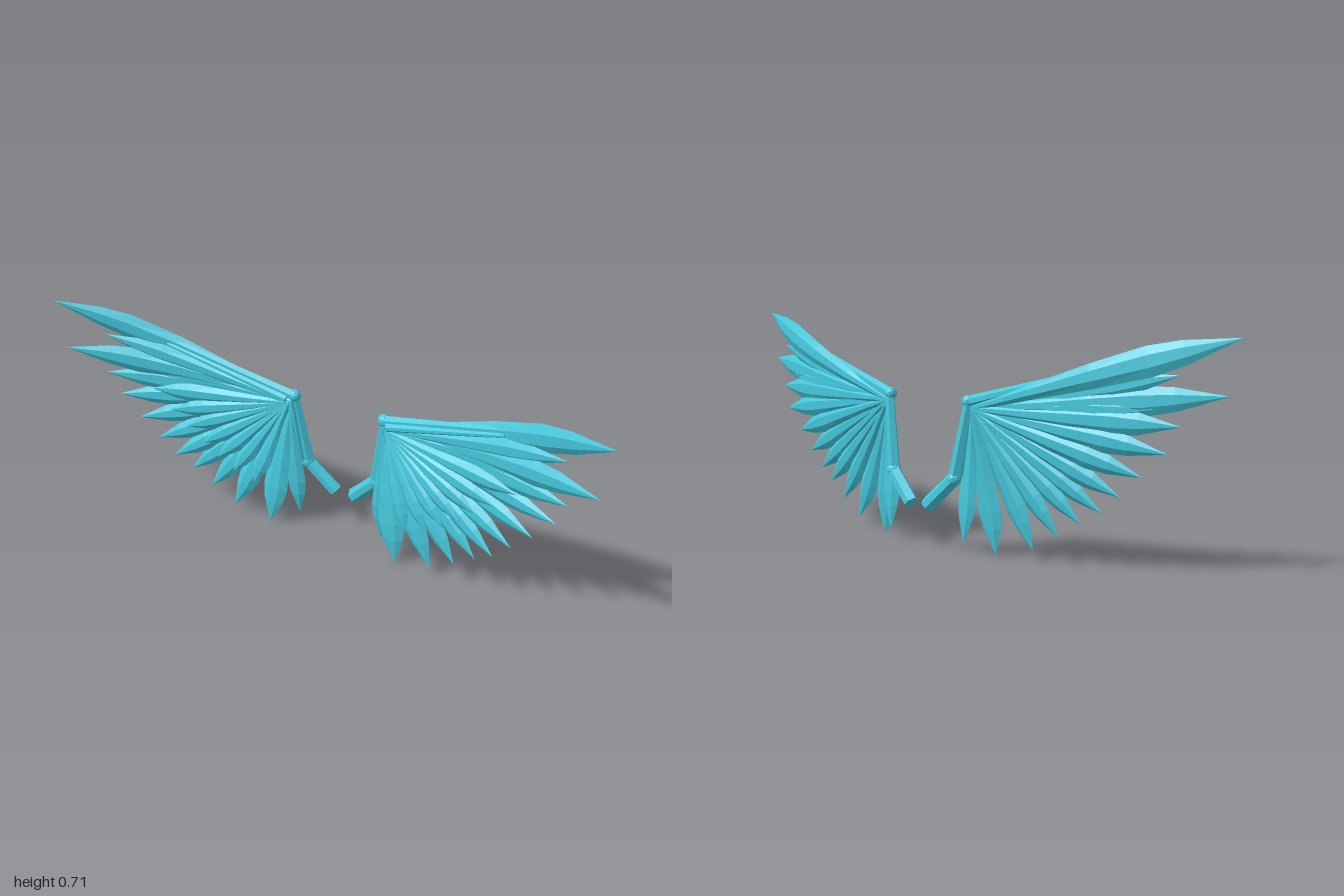
import * as THREE from 'three';

const V = (x, y, z) => new THREE.Vector3(x, y, z);
const plumage = new THREE.MeshStandardMaterial({ color: 0x45c8dc, flatShading: true });
plumage.name = 'turquoise plumage';

// Six-sided cross-section: wide, flat, with a faceted ridge on both faces
const SECTION = [[1, 0], [0.4, 0.9], [-0.4, 0.9], [-1, 0], [-0.4, -0.9], [0.4, -0.9]];
// Rows along a feather: [position, width factor, thickness factor]
const ROWS = [[0, 0.22, 0.5], [0.25, 0.48, 0.8], [0.5, 0.82, 1], [0.7, 1, 1], [0.82, 0.78, 0.8], [1, 0.01, 0.03]];

// Flattened blade from base to tip; bow bends its middle along z
function blade(base, tip, width, thick, bow, rows = ROWS) {
  const d = tip.clone().sub(base);
  const wide = V(0, 0, 1).cross(d).normalize();
  const normal = d.clone().cross(wide).normalize();
  const pos = [], idx = [], n = SECTION.length;
  for (const [t, w, h] of rows) {
    const c = base.clone().addScaledVector(d, t);
    c.z += bow * 4 * t * (1 - t);
    for (const [u, v] of SECTION) {
      const p = c.clone().addScaledVector(wide, u * w * width).addScaledVector(normal, v * h * thick);
      pos.push(p.x, p.y, p.z);
    }
  }
  for (let i = 0; i < rows.length - 1; i++) {
    for (let j = 0; j < n; j++) {
      const a = i * n + j, b = i * n + (j + 1) % n;
      idx.push(a, b, a + n, b, b + n, a + n);
    }
  }
  // End caps
  const last = (rows.length - 1) * n;
  for (let j = 1; j < n - 1; j++) idx.push(0, j + 1, j, last, last + j, last + j + 1);
  const g = new THREE.BufferGeometry();
  g.setAttribute('position', new THREE.Float32BufferAttribute(pos, 3));
  g.setIndex(idx);
  g.computeVertexNormals();
  return g;
}

// Flight feather tips: x, y, z, half width, bow
const FLIGHT = [
  [1.0, 0.71, 0.135, 0.046, -0.04],
  [0.965, 0.545, 0.13, 0.045, -0.035],
  [0.85, 0.455, 0.065, 0.042, -0.015],
  [0.815, 0.375, 0.05, 0.038, -0.012],
  [0.74, 0.3, 0.04, 0.037, -0.01],
  [0.67, 0.235, 0.03, 0.036, -0.005],
  [0.61, 0.18, 0.025, 0.035, 0],
  [0.545, 0.14, 0.01, 0.035, 0],
  [0.47, 0.09, 0, 0.036, 0.005],
  [0.38, 0.04, -0.01, 0.04, 0.008],
  [0.245, 0.005, -0.025, 0.047, 0.008],
  [0.16, 0.04, -0.082, 0.037, 0.006],
];
// Shorter feathers lying over the gaps: x, y, z, half width
const COVERTS = [
  [0.84, 0.6, 0.07, 0.036], [0.77, 0.5, 0.045, 0.034], [0.68, 0.425, 0.035, 0.033],
  [0.61, 0.36, 0.03, 0.032], [0.55, 0.31, 0.025, 0.031], [0.49, 0.26, 0.02, 0.03],
  [0.43, 0.22, 0.015, 0.03], [0.37, 0.18, 0.01, 0.03], [0.295, 0.15, 0, 0.032],
];

function wing(s) {
  const g = new THREE.Group();
  g.name = s > 0 ? 'leftWing' : 'rightWing';
  const P = (x, y, z) => V(s * x, y, z);
  const add = (name, geo) => {
    const m = new THREE.Mesh(geo, plumage);
    m.name = name;
    g.add(m);
    return m;
  };

  // Arm bones
  const bone = (name, a, b, w, t, endScale = 1) =>
    add(name, blade(a, b, w, t, 0, [[0, 1, 1], [1, endScale, endScale]]));
  bone('rootBone', P(0.035, 0.148, -0.113), P(0.135, 0.245, -0.095), 0.026, 0.024, 0.92);
  bone('upperArm', P(0.13, 0.237, -0.095), P(0.17, 0.48, -0.073), 0.024, 0.021, 0.7);
  bone('armRidge', P(0.145, 0.25, -0.078), P(0.175, 0.47, -0.062), 0.012, 0.014, 0.8);
  bone('leadingBone', P(0.16, 0.482, -0.07), P(0.69, 0.627, 0.015), 0.019, 0.018, 0.55);
  bone('leadingRidge', P(0.19, 0.475, -0.05), P(0.62, 0.595, 0.012), 0.014, 0.013, 0.6);

  // Joints
  const joint = (name, p, r) => add(name, new THREE.IcosahedronGeometry(r, 1)).position.copy(p);
  joint('elbowJoint', P(0.132, 0.242, -0.095), 0.024);
  joint('wristJoint', P(0.168, 0.486, -0.07), 0.021);

  // Flight feathers fan out from the wrist
  FLIGHT.forEach(([x, y, z, w, bow], i) => {
    const base = P(0.18, 0.465, -0.07 + (i % 2) * 0.008);
    add('flightFeather' + (i + 1), blade(base, P(x, y, z), w, 0.016, bow));
  });

  // Covert feathers on the front
  COVERTS.forEach(([x, y, z, w], i) => {
    const base = P(0.185, 0.46, -0.058);
    add('covertFeather' + (i + 1), blade(base, P(x, y, z), w, 0.014, i < 2 ? -0.015 : 0.004));
  });
  return g;
}

export function createModel() {
  const model = new THREE.Group();
  model.name = 'featheredWings';
  model.add(wing(1), wing(-1));
  return model;
}
